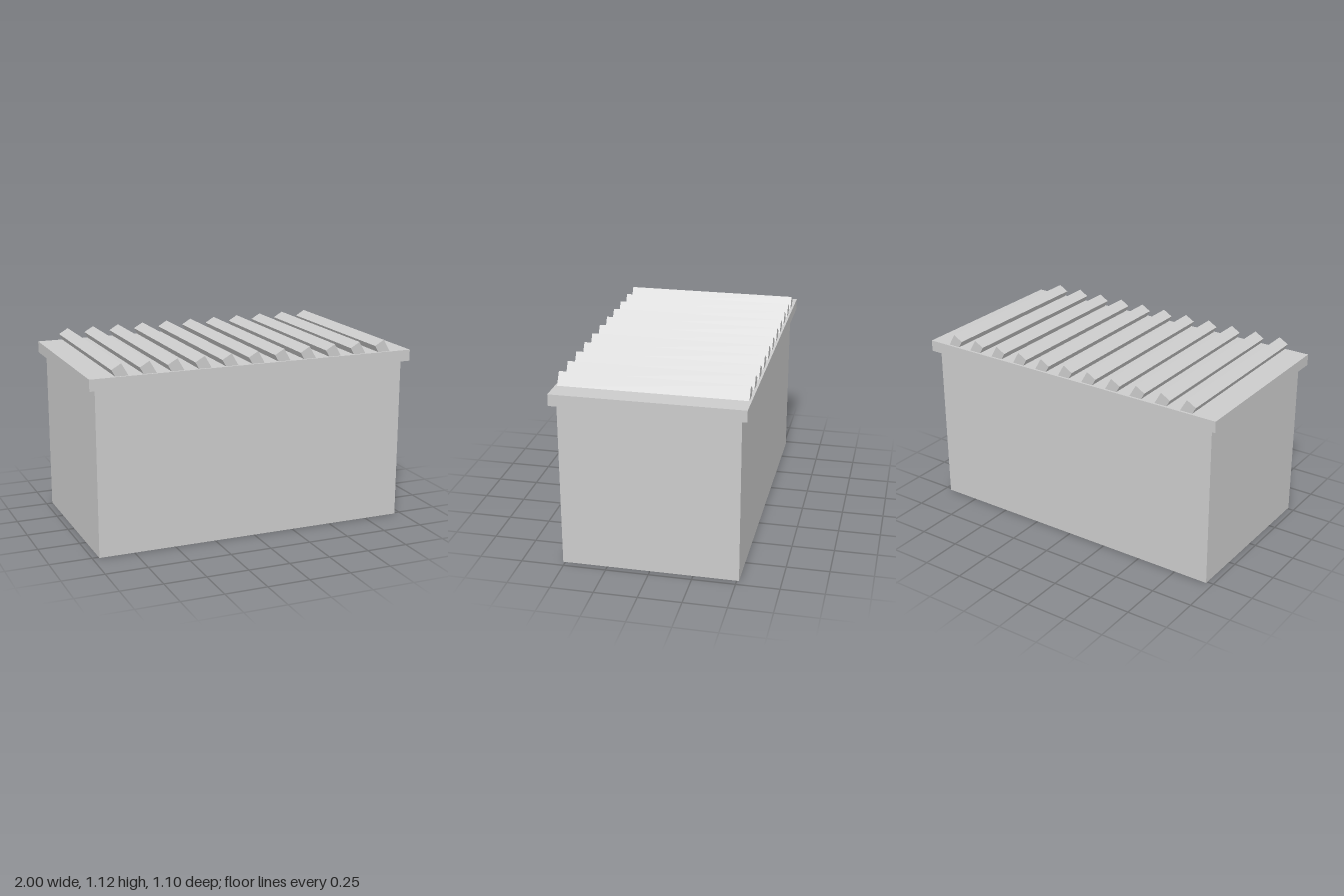
import * as THREE from 'three';

export function createModel() {
  const model = new THREE.Group();
  const grey = new THREE.MeshStandardMaterial({ color: 0xcccccc });
  grey.name = 'light grey';

  function addBox(name, w, h, d, x, y) {
    const mesh = new THREE.Mesh(new THREE.BoxGeometry(w, h, d), grey);
    mesh.name = name;
    mesh.position.set(x, y, 0);
    model.add(mesh);
    return mesh;
  }

  // main housing and overhanging lid
  addBox('housing', 1.92, 0.982, 1.026, 0, 0.491);
  addBox('lid', 2, 0.068, 1.096, 0, 1.016);

  // row of tilted louvre slats, sunk into the lid
  const count = 11;
  const spacing = 0.1638;
  for (let i = 0; i < count; i++) {
    const x = (i - (count - 1) / 2) * spacing;
    const slat = addBox('slat' + (i + 1), 0.066, 0.088, 1.07, x, 1.067);
    slat.rotation.z = Math.PI / 6;
  }
  return model;
}
